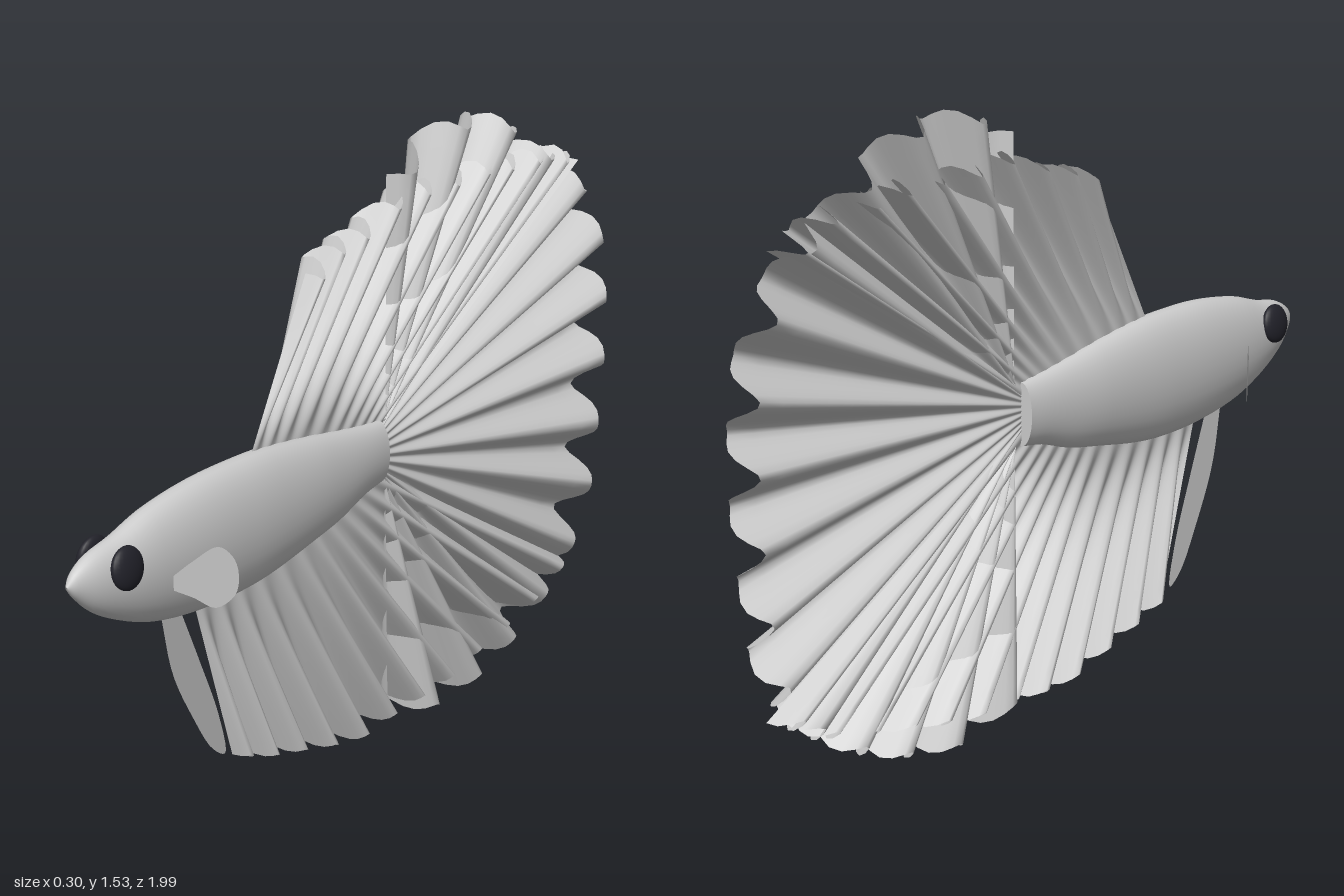
import * as THREE from 'three';

const grey = new THREE.MeshStandardMaterial({ color: 0xcccccc, side: THREE.DoubleSide });
grey.name = 'pale grey';
const black = new THREE.MeshStandardMaterial({ color: 0x22222a });
black.name = 'eye black';

const curve = (pts) => new THREE.CatmullRomCurve3(pts.map(([z, y, x = 0]) => new THREE.Vector3(x, y, z)));

function part(name, geometry, material = grey) {
  const mesh = new THREE.Mesh(geometry, material);
  mesh.name = name;
  return mesh;
}

// Surface from a rule at(i, j) on a grid of rows and columns; closed joins the last column to the first
function gridGeometry(rows, cols, at, closed = false) {
  const pos = [], index = [];
  const n = closed ? cols : cols + 1;
  for (let i = 0; i <= rows; i++) for (let j = 0; j < n; j++) pos.push(...at(i / rows, j / cols));
  for (let i = 0; i < rows; i++) {
    for (let j = 0; j < cols; j++) {
      const a = i * n + j, b = i * n + (j + 1) % n;
      index.push(a, a + n, b, b, a + n, b + n);
    }
  }
  const g = new THREE.BufferGeometry();
  g.setAttribute('position', new THREE.Float32BufferAttribute(pos, 3));
  g.setIndex(index);
  g.computeVertexNormals();
  return g;
}

// Pleated sheet between a base line and a rim, with folds that widen outwards
function pleatedFin(name, basePts, rimPts, pleats, width, ruffle) {
  const base = curve(basePts), rim = curve(rimPts);
  return part(name, gridGeometry(12, pleats * 12, (v, u) => {
    const p = base.getPoint(u), q = rim.getPoint(u);
    const fold = 2 * Math.PI * pleats * u + 0.5 * Math.sin(9 * u);
    const reach = v * (1 + ruffle * v * (Math.cos(2 * fold) - 1 + 0.5 * Math.sin(23 * u)));
    p.lerp(q, reach);
    return [width * v * Math.sin(fold), p.y, p.z];
  }));
}

// Flat blade from an outline of [z, y] points, mapped to x by a rule
function blade(name, pts, xAt) {
  const line = curve(pts).getPoints(32);
  const g = new THREE.ShapeGeometry(new THREE.Shape(line.map((p) => new THREE.Vector2(p.z, p.y))));
  const pos = g.attributes.position;
  for (let i = 0; i < pos.count; i++) {
    const z = pos.getX(i), y = pos.getY(i);
    pos.setXYZ(i, xAt(z, y), y, z);
  }
  g.computeVertexNormals();
  return part(name, g);
}

export function createModel() {
  const fish = new THREE.Group();
  fish.name = 'fish';

  // Body sections: z, top, bottom, half width
  const sections = [
    [1.0, 0.783, 0.777, 0.003], [0.98, 0.808, 0.75, 0.018], [0.93, 0.835, 0.70, 0.038],
    [0.85, 0.852, 0.652, 0.053], [0.75, 0.882, 0.612, 0.064], [0.6, 0.903, 0.585, 0.071],
    [0.45, 0.905, 0.58, 0.071], [0.35, 0.9, 0.588, 0.068], [0.2, 0.88, 0.615, 0.06],
    [0.1, 0.862, 0.635, 0.051], [0, 0.846, 0.668, 0.041], [-0.07, 0.838, 0.68, 0.034],
  ];
  const middle = new THREE.CatmullRomCurve3(sections.map(([z, t, b]) => new THREE.Vector3(0, (t + b) / 2, z)));
  const size = new THREE.CatmullRomCurve3(sections.map(([z, t, b, w]) => new THREE.Vector3(w, (t - b) / 2, z)));
  fish.add(part('body', gridGeometry(44, 32, (v, u) => {
    const c = middle.getPoint(v), s = size.getPoint(v), a = u * 2 * Math.PI;
    return [s.x * Math.cos(a), c.y + s.y * Math.sin(a), s.z];
  }, true)));

  // Flat end of the tail stem
  const stem = part('stemEnd', new THREE.CircleGeometry(1, 32));
  stem.scale.set(0.034, 0.079, 1);
  stem.position.set(0, 0.759, -0.07);
  stem.rotation.y = Math.PI;
  fish.add(stem);

  // Eyes and side fins
  for (const side of [1, -1]) {
    const name = side > 0 ? 'left' : 'right';
    const eye = part(name + 'Eye', new THREE.SphereGeometry(1, 24, 16), black);
    eye.scale.set(0.02, 0.05, 0.047);
    eye.position.set(side * 0.052, 0.795, 0.866);
    eye.rotation.z = side * 0.15;
    fish.add(eye);
    fish.add(blade(name + 'SideFin',
      [[0.737, 0.735], [0.7, 0.765], [0.655, 0.792], [0.628, 0.765], [0.617, 0.72],
        [0.625, 0.67], [0.66, 0.646], [0.7, 0.676], [0.737, 0.7]],
      (z) => side * (0.066 + (0.737 - z) * 0.7)));
  }

  // Belly fin
  fish.add(blade('bellyFin',
    [[0.71, 0.61], [0.67, 0.45], [0.6, 0.31], [0.53, 0.2], [0.485, 0.17], [0.51, 0.28], [0.58, 0.45], [0.65, 0.61]],
    (z, y) => -0.04 * (0.6 - y)));

  // Tail fan
  fish.add(pleatedFin('tailFin',
    [[-0.095, 0.83], [-0.065, 0.8], [-0.06, 0.76], [-0.065, 0.72], [-0.095, 0.69]],
    [[-0.095, 1.44], [-0.3, 1.515], [-0.5, 1.5], [-0.66, 1.41], [-0.82, 1.31], [-0.92, 1.18], [-0.98, 1.03],
      [-1.0, 0.88], [-1.0, 0.72], [-0.97, 0.55], [-0.94, 0.39], [-0.87, 0.24],
      [-0.75, 0.13], [-0.6, 0.06], [-0.45, 0.02], [-0.28, 0.0], [-0.095, 0.05]],
    15, 0.05, 0.018));

  // Back fin, sweeping over the tail
  fish.add(pleatedFin('backFin',
    [[0.4, 0.89], [0.27, 0.88], [0.12, 0.85], [0, 0.83], [-0.06, 0.8]],
    [[0.2, 1.275], [0.1, 1.33], [-0.02, 1.36], [-0.16, 1.4], [-0.3, 1.4], [-0.45, 1.39],
      [-0.6, 1.39], [-0.75, 1.36], [-0.88, 1.31]],
    10, 0.05, 0.025));

  // Lower fin, sweeping under the tail
  fish.add(pleatedFin('lowerFin',
    [[0.6, 0.6], [0.4, 0.6], [0.2, 0.63], [0.05, 0.67], [-0.06, 0.72]],
    [[0.48, 0.17], [0.35, 0.12], [0.2, 0.07], [0.05, 0.04], [-0.1, 0.04], [-0.25, 0.05],
      [-0.42, 0.08], [-0.6, 0.11], [-0.76, 0.17], [-0.92, 0.24]],
    12, 0.05, 0.02));

  return fish;
}
